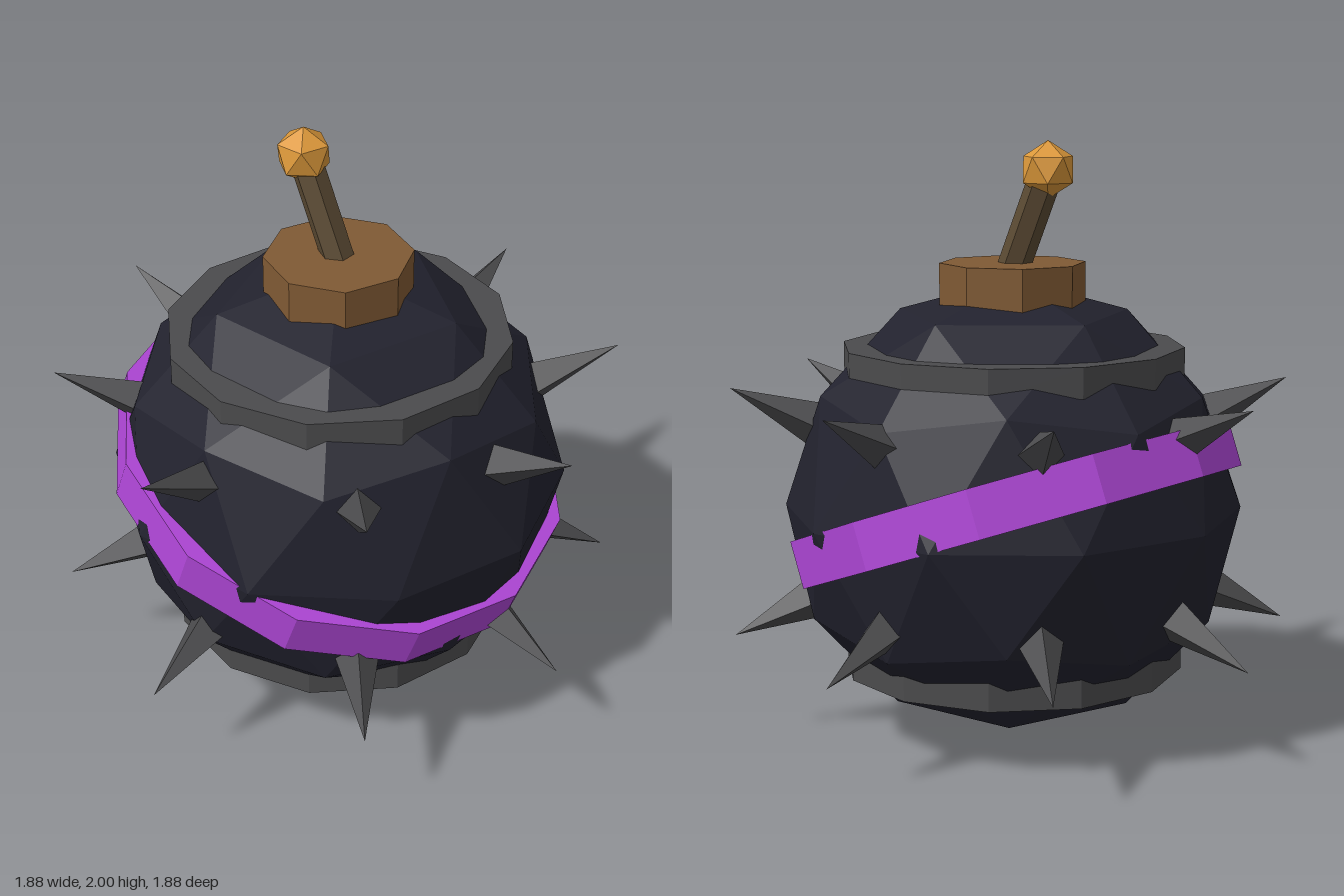
import * as THREE from 'three';

const mat = (name, color) => {
  const m = new THREE.MeshStandardMaterial({ color, flatShading: true });
  m.name = name;
  return m;
};

// Icosphere with a vertex at each pole and its upper ring pointing to +x
function poleIcosphere(radius, detail) {
  const g = new THREE.IcosahedronGeometry(radius, detail);
  g.rotateX(-Math.atan((1 + Math.sqrt(5)) / 2));
  g.rotateY(Math.PI / 2);
  return g;
}

export function createModel() {
  const shell = mat('dark shell', 0x22222e);
  const iron = mat('iron grey', 0x4b4b4d);
  const purple = mat('purple', 0xb047d8);
  const wood = mat('brown', 0x805a34);
  const cord = mat('fuse brown', 0x5c4b34);
  const gold = mat('amber', 0xdc983a);

  const root = new THREE.Group();
  root.name = 'spikedBomb';
  const add = (name, geometry, material, x = 0, y = 0, z = 0, parent = root) => {
    const mesh = new THREE.Mesh(geometry, material);
    mesh.name = name;
    mesh.position.set(x, y, z);
    parent.add(mesh);
    return mesh;
  };

  const R = 0.77; // body radius and centre height
  add('body', poleIcosphere(R, 1), shell, 0, R, 0);

  // Iron bands above and below
  for (const s of [1, -1]) {
    add(s > 0 ? 'upperBand' : 'lowerBand',
      new THREE.CylinderGeometry(0.575, 0.575, 0.1, 12), iron, 0, R + s * 0.5, 0);
  }

  // Tilted belt, low at the front
  const belt = add('tiltedBelt', new THREE.CylinderGeometry(0.78, 0.78, 0.16, 12), purple, 0, R, 0);
  belt.rotation.x = THREE.MathUtils.degToRad(20);

  // Two rings of eight four-sided spikes, pointing away from the centre
  const spikes = new THREE.Group();
  spikes.name = 'spikes';
  spikes.position.y = R;
  root.add(spikes);
  const spike = new THREE.ConeGeometry(0.085, 0.35, 4);
  spike.translate(0, 0.855, 0);
  spike.rotateX(Math.PI / 2); // points to +z
  for (const s of [1, -1]) {
    for (let i = 0; i < 8; i++) {
      const m = add('spike', spike, iron, 0, 0, 0, spikes);
      m.rotation.order = 'YXZ';
      m.rotation.set(-s * THREE.MathUtils.degToRad(24.1), i * Math.PI / 4, 0);
    }
  }

  // Collar, leaning fuse and its glowing tip
  add('collar', new THREE.CylinderGeometry(0.245, 0.245, 0.15, 8), wood, 0, 1.52, 0);
  const fuseGeo = new THREE.CylinderGeometry(0.055, 0.055, 0.4, 6);
  fuseGeo.rotateY(Math.PI / 6);
  const fuse = add('fuse', fuseGeo, cord, 0, 1.72, -0.065);
  fuse.rotation.x = -0.41;
  add('fuseTip', poleIcosphere(0.095, 0), gold, 0, 1.905, -0.145);

  return root;
}
